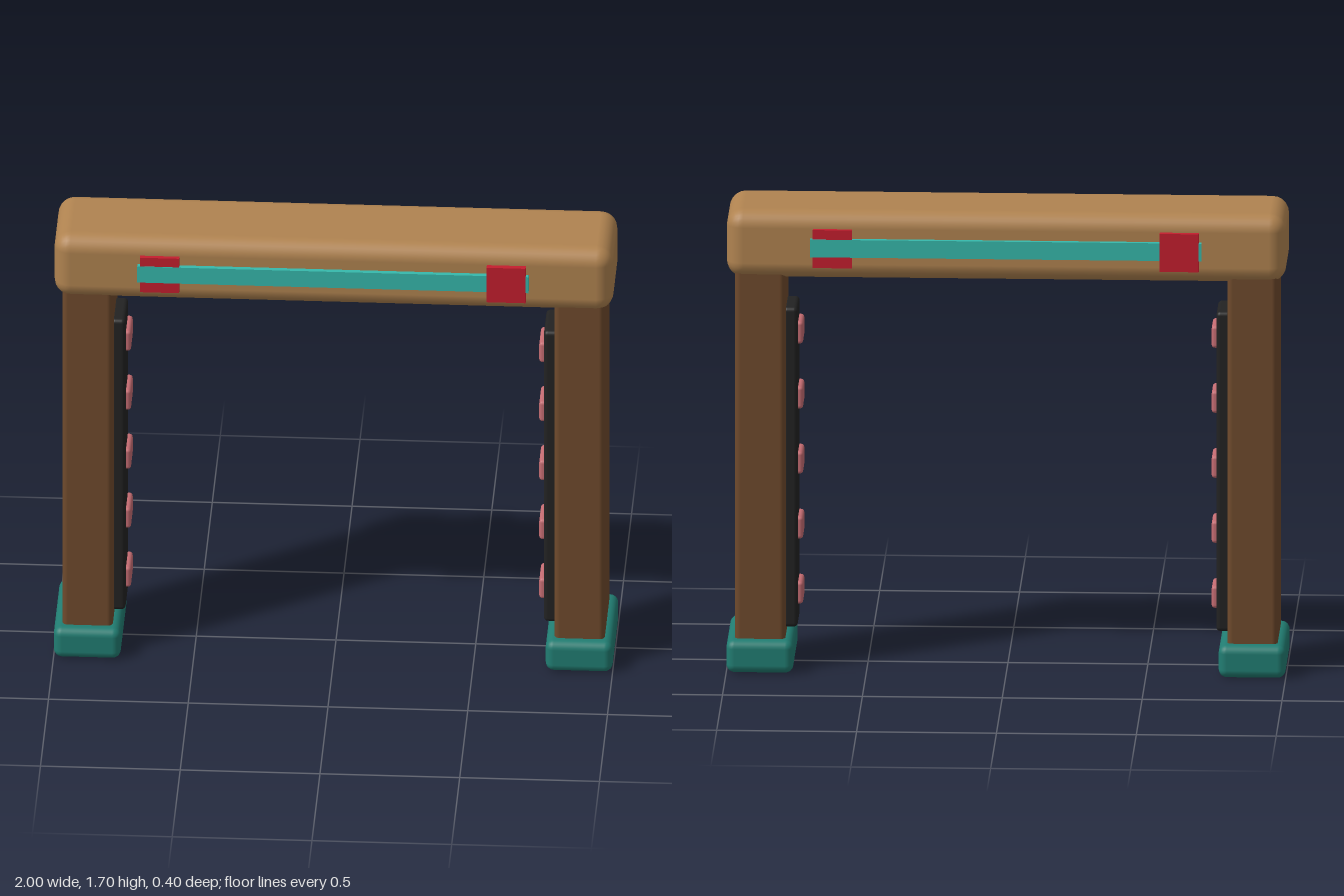
import * as THREE from 'three';
import { RoundedBoxGeometry } from 'three/addons/geometries/RoundedBoxGeometry.js';

const paint = (name, color) => {
  const m = new THREE.MeshStandardMaterial({ color });
  m.name = name;
  return m;
};

export function createModel() {
  const group = new THREE.Group();
  group.name = 'gateway';
  const lightWood = paint('light wood', 0xb08350);
  const darkWood = paint('dark wood', 0x6f4a2c);
  const teal = paint('dark teal', 0x217d72);
  const turquoise = paint('turquoise', 0x36b8ab);
  const red = paint('red', 0xc41e2e);
  const black = paint('black', 0x222222);
  const pink = paint('dusty pink', 0xc56c72);

  // Box given by its extents on each axis; a radius rounds its edges
  const box = (name, mat, [x0, x1], [y0, y1], [z0, z1], radius = 0, seg = 3) => {
    const w = x1 - x0, h = y1 - y0, d = z1 - z0;
    const geo = radius ? new RoundedBoxGeometry(w, h, d, seg, radius) : new THREE.BoxGeometry(w, h, d);
    const mesh = new THREE.Mesh(geo, mat);
    mesh.name = name;
    mesh.position.set((x0 + x1) / 2, (y0 + y1) / 2, (z0 + z1) / 2);
    return mesh;
  };

  // Crossbeam
  group.add(box('beam', lightWood, [-1, 1], [1.45, 1.7], [-0.18, 0.18], 0.06));

  // Two posts, one turned half round to match the other
  for (const [side, turn] of [['left', 0], ['right', Math.PI]]) {
    const post = new THREE.Group();
    post.name = side + 'Post';
    post.rotation.y = turn;
    post.add(
      box('leg', darkWood, [0.79, 0.97], [0.06, 1.52], [-0.16, 0.16], 0.02),
      box('foot', teal, [0.76, 1], [0, 0.12], [-0.2, 0.2], 0.03),
      box('innerPanel', black, [0.748, 0.8], [0.145, 1.325], [-0.09, 0.09], 0.015)
    );
    // Raised pads up the inner panel
    for (let i = 0; i < 5; i++) {
      const y = 0.265 + 0.24 * i;
      post.add(box('pad', pink, [0.73, 0.765], [y - 0.041, y + 0.041], [-0.065, 0.065], 0.012, 2));
    }
    group.add(post);
  }

  // Ribbon and tags on the front and back of the beam
  for (const [side, turn] of [['front', 0], ['back', Math.PI]]) {
    const trim = new THREE.Group();
    trim.name = side + 'Trim';
    trim.rotation.y = turn;
    trim.add(
      box('ribbon', turquoise, [-0.7, 0.7], [1.54, 1.605], [0.17, 0.198]),
      box('underTag', red, [-0.69, -0.55], [1.5, 1.64], [0.17, 0.196]),
      box('overTag', red, [0.55, 0.69], [1.5, 1.64], [0.17, 0.2])
    );
    group.add(trim);
  }
  return group;
}
